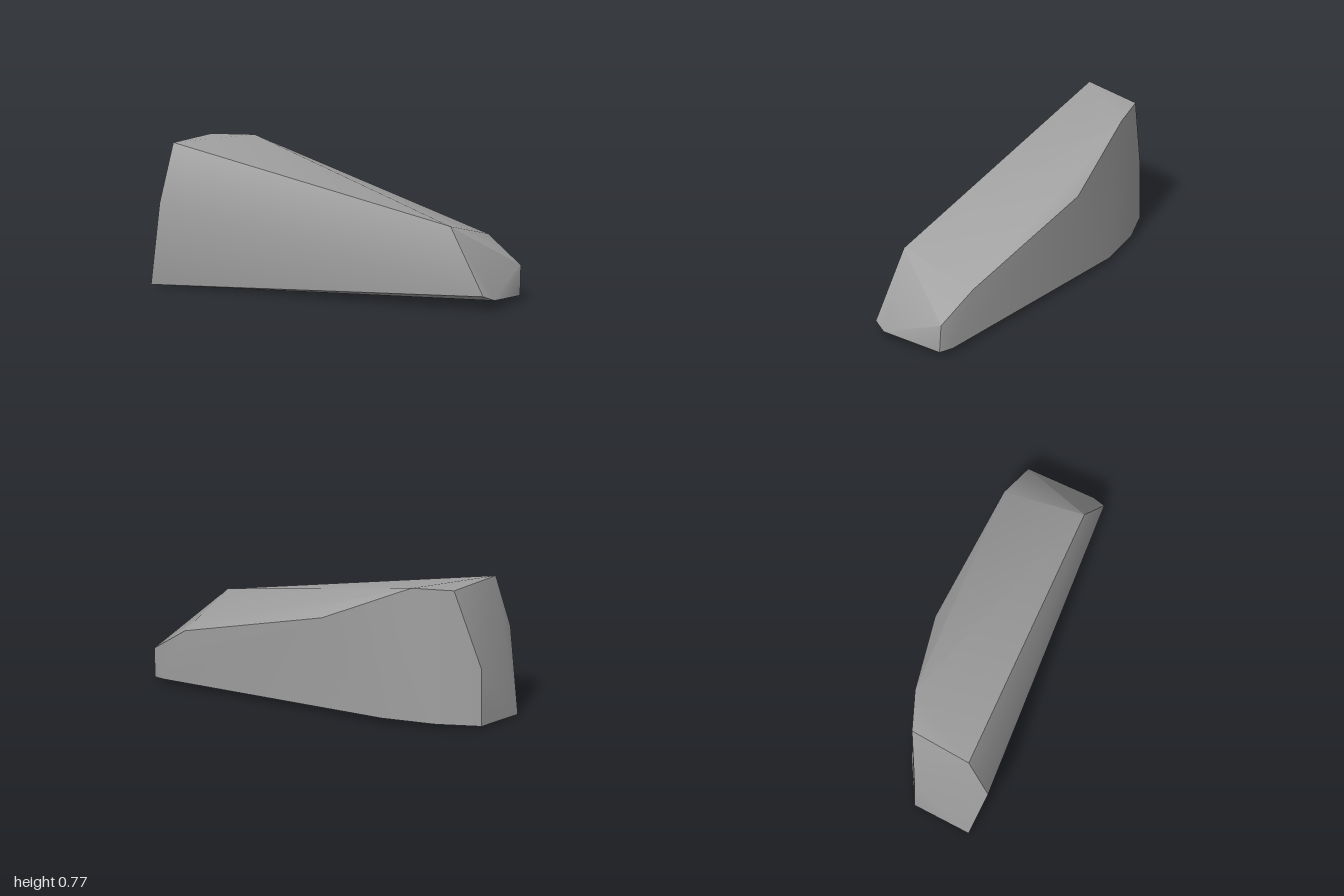
import * as THREE from 'three';
import { ConvexGeometry } from 'three/addons/geometries/ConvexGeometry.js';
import { toCreasedNormals } from 'three/addons/utils/BufferGeometryUtils.js';

// Corners of the faceted boulder, grouped by region
const corners = [
  // tall end
  [-1, 0, 0.245], [-0.91, 0.46, 0.32], [-0.89, 0.77, 0.2],
  [-0.84, 0.77, -0.15], [-0.97, 0.33, -0.08], [-0.97, 0.014, -0.08],
  // sloping top rim
  [-0.62, 0.77, -0.225], [-0.12, 0.55, -0.32], [0.75, 0.33, -0.288], [0.76, 0.44, 0.173],
  // low end
  [0.97, 0.185, -0.24], [1, 0.05, 0.125], [0.97, 0.08, 0.2], [0.97, 0.022, -0.23],
  // rear foot
  [0.9, 0.03, -0.265], [-0.46, 0.028, -0.265], [-0.75, 0.02, -0.19],
];

export function createModel() {
  const stone = new THREE.MeshStandardMaterial({ color: 0xa0a0a0 });
  stone.name = 'grey stone';

  // Convex block, softened across shallow edges only
  const hull = new ConvexGeometry(corners.map((p) => new THREE.Vector3(...p)));
  const boulder = new THREE.Mesh(toCreasedNormals(hull, THREE.MathUtils.degToRad(35)), stone);
  boulder.name = 'boulder';

  const group = new THREE.Group();
  group.name = 'rock';
  group.add(boulder);
  return group;
}
